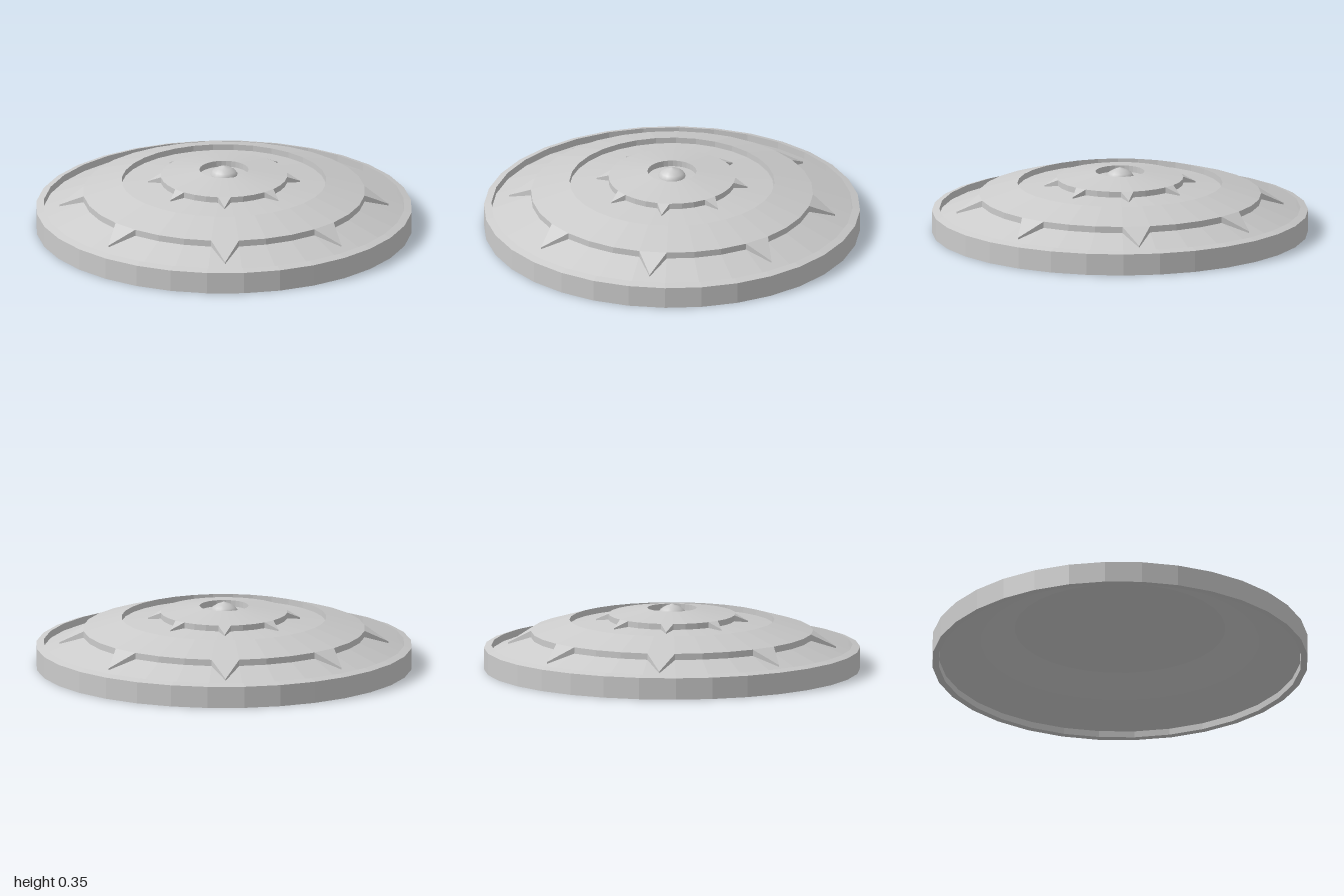
import * as THREE from 'three';

const SIDES = 32;
const V = (r, y, a) => [r * Math.sin(a), y, r * Math.cos(a)];

function mesh(name, geometry, flatShading = true) {
  const m = new THREE.Mesh(geometry, new THREE.MeshStandardMaterial({ color: 0xcccccc, flatShading }));
  m.name = name;
  return m;
}

// Faceted solid of revolution; profile runs counter-clockwise in (radius, height)
function lathe(name, profile, sides = SIDES, flat = true) {
  return mesh(name, new THREE.LatheGeometry(profile.map(([r, y]) => new THREE.Vector2(r, y)), sides), flat);
}

// Sloping ring plate; every fourth outer facet is drawn out into a spike.
// inner, outer and tip are [radius, top height, bottom height].
function spikedPlate(name, inner, outer, tip) {
  const pos = [];
  const tri = (...pts) => pts.forEach(p => pos.push(...p));
  const quad = (a, b, c, d) => { tri(a, b, c); tri(a, c, d); };
  const step = (Math.PI * 2) / SIDES;
  for (let i = 0; i < SIDES; i++) {
    const a = i * step, b = a + step;
    const edge = ([r, top, low], ang) => [V(r, top, ang), V(r, low, ang)];
    const [ia, iaLow] = edge(inner, a), [ib, ibLow] = edge(inner, b);
    const [oa, oaLow] = edge(outer, a), [ob, obLow] = edge(outer, b);
    quad(oa, ob, ib, ia);              // top
    quad(ibLow, iaLow, ia, ib);        // wall of the central hole
    if (i % 4 === 3) {
      const [t, tLow] = edge(tip, a + step / 2);
      tri(oa, t, ob);                  // spike top
      quad(oaLow, tLow, t, oa);        // spike flanks
      quad(tLow, obLow, ob, t);
    } else {
      quad(oaLow, obLow, ob, oa);      // outer wall
    }
  }
  const g = new THREE.BufferGeometry();
  g.setAttribute('position', new THREE.Float32BufferAttribute(pos, 3));
  g.computeVertexNormals();
  return mesh(name, g);
}

export function createModel() {
  const group = new THREE.Group();
  group.name = 'roundShield';

  // Outer band with a slightly bevelled top
  group.add(lathe('rim', [[0.965, 0], [1, 0], [1, 0.115], [0.96, 0.127], [0.96, 0.05], [0.965, 0]]));

  // Hollow domed body: underside outwards, then top back to the centre
  group.add(lathe('domeBody', [
    [0, 0.25], [0.56, 0.19], [0.74, 0.116], [0.97, 0.03],
    [0.97, 0.085], [0.74, 0.175], [0.54, 0.235], [0.335, 0.265], [0.13, 0.295], [0, 0.305],
  ]));

  // Two raised star-edged plates
  group.add(spikedPlate('outerSpikedPlate', [0.545, 0.265, 0.225], [0.75, 0.205, 0.165], [0.875, 0.13, 0.115]));
  group.add(spikedPlate('innerSpikedPlate', [0.13, 0.328, 0.285], [0.337, 0.296, 0.255], [0.405, 0.262, 0.245]));

  // Pointed boss in the middle
  group.add(lathe('centreBoss', [
    [0.072, 0.29], [0.072, 0.305], [0.06, 0.322], [0.035, 0.337], [0, 0.35],
  ], 16, false));

  return group;
}
